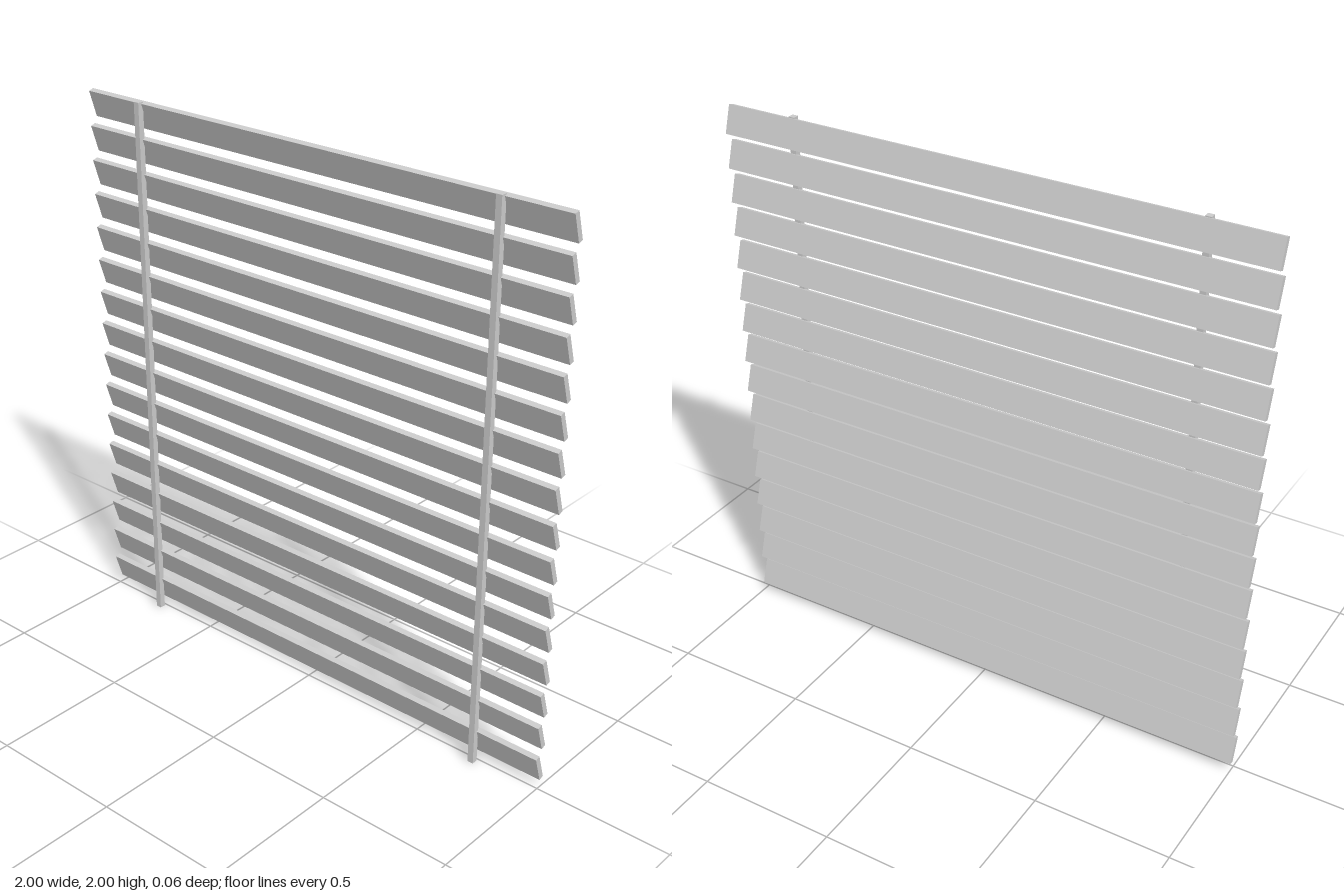
import * as THREE from 'three';

const SLATS = 16;
const STEP = 0.1247;
const TOP_SLAT_Y = 1.949;

export function createModel() {
  const group = new THREE.Group();
  group.name = 'slattedBlind';
  const material = new THREE.MeshStandardMaterial({ color: 0xcccccc, flatShading: true });

  // Tilted slats, upper edge leaning forward
  const slatGeometry = new THREE.BoxGeometry(2, 0.1, 0.02);
  const slats = new THREE.Group();
  slats.name = 'slats';
  for (let i = 0; i < SLATS; i++) {
    const slat = new THREE.Mesh(slatGeometry, material);
    slat.name = `slat${i + 1}`;
    slat.position.set(0, TOP_SLAT_Y - i * STEP, -0.007);
    slat.rotation.x = 0.3;
    slats.add(slat);
  }
  group.add(slats);

  // Upright rods joining the slats at the front
  const rodGeometry = new THREE.BoxGeometry(0.022, 2, 0.022);
  for (const side of [-1, 1]) {
    const rod = new THREE.Mesh(rodGeometry, material);
    rod.name = side > 0 ? 'leftRod' : 'rightRod';
    rod.position.set(side * 0.75, 1, 0.02);
    group.add(rod);
  }
  return group;
}
